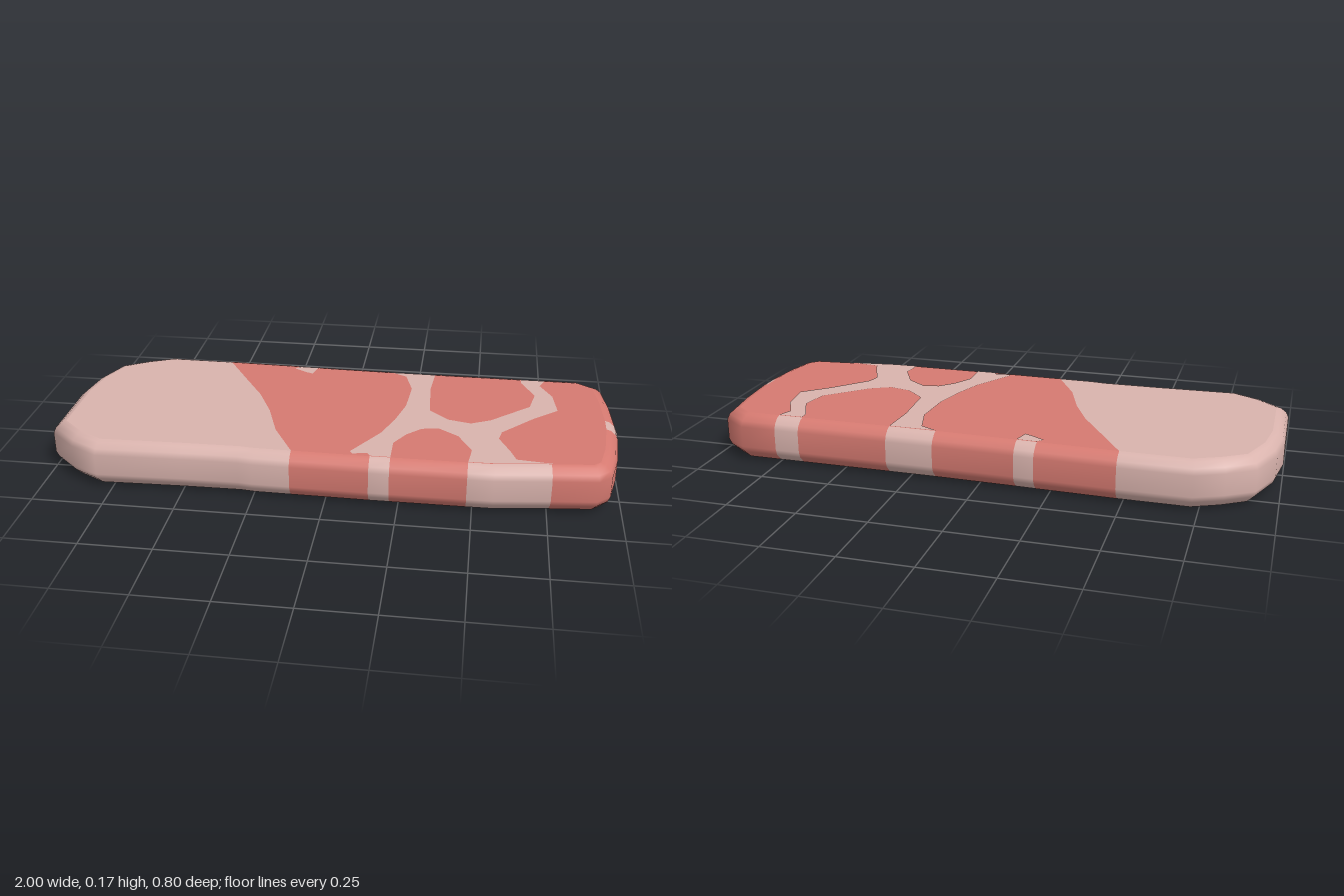
import * as THREE from 'three';

const lean = new THREE.MeshStandardMaterial({ color: 0xd67a71 });
lean.name = 'lean red';
const fat = new THREE.MeshStandardMaterial({ color: 0xd9b3ad });
fat.name = 'pale fat';

// Outline as [x, z, fat?]; the flag colours the wall from this point to the next.
const outline = [
  [-1, -0.03, 1], [-0.98, -0.16, 1], [-0.925, -0.3, 1], [-0.83, -0.36, 1], [-0.73, -0.405, 1],
  [-0.48, -0.404, 0], [-0.2, -0.396, 1], [-0.13, -0.393, 0], [0.16, -0.386, 1], [0.33, -0.385, 0],
  [0.66, -0.384, 1], [0.75, -0.384, 0], [0.88, -0.384, 0], [0.97, -0.32, 0], [0.99, -0.18, 0],
  [1, -0.025, 1], [1, 0.045, 0], [0.985, 0.2, 0], [0.96, 0.315, 0], [0.915, 0.357, 0],
  [0.76, 0.373, 1], [0.57, 0.397, 1], [0.48, 0.398, 0], [0.22, 0.398, 1], [0.15, 0.398, 0],
  [-0.12, 0.394, 1], [-0.25, 0.392, 1], [-0.3, 0.386, 1], [-0.5, 0.388, 1], [-0.8, 0.397, 1],
  [-0.9, 0.342, 1], [-1, 0.25, 1],
];
const FAT_BACK = 5, FAT_FRONT = 25; // outline points where the fat end meets the lean
const TOP = 0.172, BOTTOM = 0.002;

// Edge profile: [inset from the outline, height]
const profile = [
  [0.05, BOTTOM], [0.034, 0.007], [0.008, 0.034], [0, 0.055],
  [0, 0.13], [0.009, 0.15], [0.028, 0.167], [0.045, TOP],
];

function insetRing(d) {
  const n = outline.length;
  return outline.map(([x, z], i) => {
    const p = outline[(i + n - 1) % n], q = outline[(i + 1) % n];
    const a = new THREE.Vector2(x - p[0], z - p[1]).normalize();
    const b = new THREE.Vector2(q[0] - x, q[1] - z).normalize();
    const t = a.clone().add(b).normalize();
    const k = d / Math.max(0.5, t.dot(a)); // mitred corner
    return [x - t.y * k, z + t.x * k];
  });
}

// Flat face from [x, z] points, facing up or down.
function face(name, points, y, up, material) {
  const s = up ? -1 : 1;
  const shape = new THREE.Shape(points.map(([x, z]) => new THREE.Vector2(x, s * z)));
  const geometry = new THREE.ShapeGeometry(shape);
  geometry.rotateX(s * Math.PI / 2);
  geometry.translate(0, y, 0);
  const mesh = new THREE.Mesh(geometry, material);
  mesh.name = name;
  return mesh;
}

// Rounded wall with the two colours as material groups.
function buildRim() {
  const n = outline.length, positions = [], index = [];
  for (const [d, y] of profile) for (const [x, z] of insetRing(d)) positions.push(x, y, z);
  const geometry = new THREE.BufferGeometry();
  for (let i = 0; i < n; i++) {
    const j = (i + 1) % n, start = index.length;
    for (let r = 0; r < profile.length - 1; r++) {
      const a = r * n + i, b = r * n + j;
      index.push(a, a + n, b, b, a + n, b + n);
    }
    geometry.addGroup(start, index.length - start, outline[i][2]);
  }
  geometry.setAttribute('position', new THREE.Float32BufferAttribute(positions, 3));
  geometry.setIndex(index);
  geometry.computeVertexNormals();
  const mesh = new THREE.Mesh(geometry, [lean, fat]);
  mesh.name = 'rim';
  return mesh;
}

// Cap split along the curve between fat end and lean.
function buildCap(name, inset, y, up) {
  const ring = insetRing(inset);
  const border = [[-0.39, -0.21], [-0.31, -0.08], [-0.25, 0.05], [-0.2, 0.2]];
  const leanPart = [...ring.slice(FAT_BACK, FAT_FRONT + 1), ...border.slice().reverse()];
  const fatPart = [...ring.slice(FAT_FRONT), ...ring.slice(0, FAT_BACK + 1), ...border];
  const group = new THREE.Group();
  group.name = name;
  group.add(face('leanFace', leanPart, y, up, lean), face('fatEnd', fatPart, y, up, fat));
  return group;
}

// Marbling on the top: a branching vein and a small fleck.
const topVein = [
  [0.16, -0.341], [0.22, -0.31], [0.25, -0.2], [0.24, -0.05], [0.21, 0.07], [0.17, 0.18],
  [0.08, 0.33], [0.09, 0.345], [0.14, 0.335], [0.15, 0.353], [0.22, 0.353], [0.22, 0.25],
  [0.26, 0.18], [0.31, 0.13], [0.37, 0.12], [0.44, 0.17], [0.49, 0.27], [0.48, 0.353],
  [0.57, 0.351], [0.76, 0.328], [0.64, 0.315], [0.62, 0.26], [0.58, 0.17], [0.59, 0.12],
  [0.7, 0], [0.79, -0.08], [0.775, -0.2], [0.73, -0.29], [0.75, -0.339], [0.66, -0.339],
  [0.66, -0.31], [0.71, -0.2], [0.69, -0.1], [0.55, 0.03], [0.48, 0.065], [0.4, 0.045],
  [0.33, -0.02], [0.32, -0.2], [0.33, -0.34],
];
const topFleck = [[-0.2, -0.35], [-0.22, -0.33], [-0.17, -0.3], [-0.145, -0.29], [-0.13, -0.348]];

// Short tongues of fat on the underside.
const underTongues = [
  [[0.15, 0.347], [0.22, 0.347], [0.2, 0.25], [0.16, 0.15], [0.13, 0.13], [0.12, 0.18], [0.16, 0.25]],
  [[0.48, 0.347], [0.57, 0.346], [0.76, 0.322], [0.6, 0.27], [0.5, 0.19], [0.46, 0.14], [0.43, 0.16], [0.48, 0.23]],
];

export function createModel() {
  const model = new THREE.Group();
  model.name = 'meatSlab';
  model.add(buildRim());
  model.add(buildCap('topFace', profile[profile.length - 1][0], TOP, true));
  model.add(buildCap('underside', profile[0][0], BOTTOM, false));
  model.add(face('topVein', topVein, TOP + 0.002, true, fat));
  model.add(face('topFleck', topFleck, TOP + 0.002, true, fat));
  underTongues.forEach((t, i) => model.add(face(`undersideVein${i + 1}`, t, 0, false, fat)));
  return model;
}
